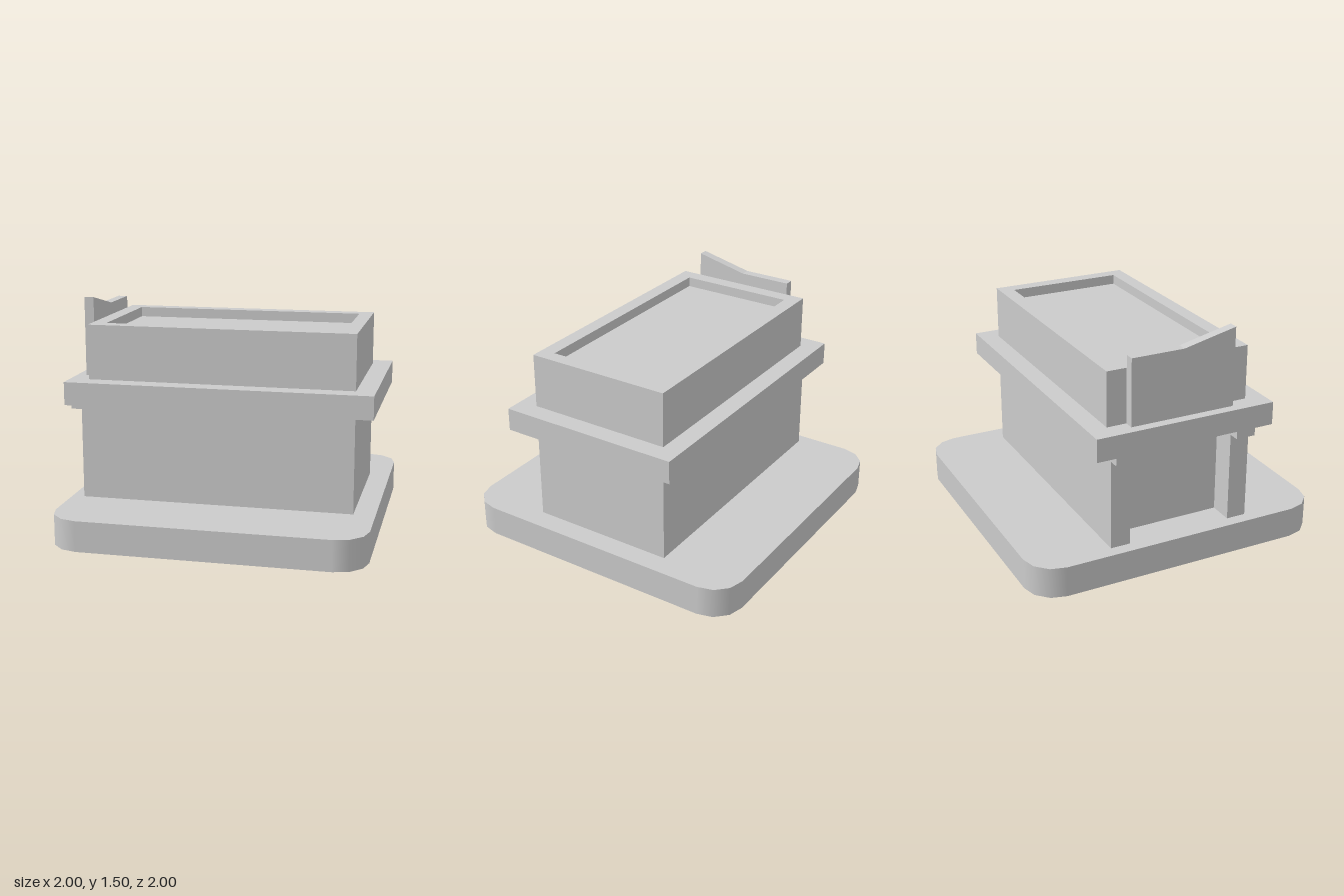
import * as THREE from 'three';

const grey = new THREE.MeshStandardMaterial({ color: 0xcccccc });
const greyThin = new THREE.MeshStandardMaterial({ color: 0xcccccc, side: THREE.DoubleSide });

function part(name, geometry, material = grey) {
  const mesh = new THREE.Mesh(geometry, material);
  mesh.name = name;
  return mesh;
}

// Box given by its limits on each axis
function block(name, x0, x1, y0, y1, z0, z1) {
  const g = new THREE.BoxGeometry(x1 - x0, y1 - y0, z1 - z0);
  g.translate((x0 + x1) / 2, (y0 + y1) / 2, (z0 + z1) / 2);
  return part(name, g);
}

// Outline of [x, z] points laid on the ground plane
const plan = (points) => points.map(([x, z]) => new THREE.Vector2(x, -z));
const rect = (x0, x1, z0, z1) => plan([[x0, z0], [x0, z1], [x1, z1], [x1, z0]]);

// Extrude a plan outline upwards from y0 to y1
function raise(shape, y0, y1) {
  const g = new THREE.ExtrudeGeometry(shape, { depth: y1 - y0, bevelEnabled: false });
  return g.rotateX(-Math.PI / 2).translate(0, y0, 0);
}

// Hollow rounded plinth, open underneath: top plate and a smooth skirt
function createBase() {
  const group = new THREE.Group();
  group.name = 'base';
  const half = 1, r = 0.2, height = 0.2, steps = 3;
  const outline = [], positions = [], normals = [], index = [];
  for (let corner = 0; corner < 4; corner++) {
    const start = (corner * Math.PI) / 2, mid = start + Math.PI / 4;
    const cx = Math.sign(Math.cos(mid)) * (half - r);
    const cz = Math.sign(Math.sin(mid)) * (half - r);
    for (let i = 0; i <= steps; i++) {
      const a = start + (i / steps) * (Math.PI / 2);
      const nx = Math.cos(a), nz = Math.sin(a);
      const x = cx + r * nx, z = cz + r * nz;
      outline.push([x, z]);
      positions.push(x, 0, z, x, height, z);
      normals.push(nx, 0, nz, nx, 0, nz);
    }
  }
  const n = outline.length;
  for (let i = 0; i < n; i++) {
    const a = 2 * i, b = 2 * ((i + 1) % n);
    index.push(a, a + 1, b, b, a + 1, b + 1);
  }
  const skirt = new THREE.BufferGeometry();
  skirt.setAttribute('position', new THREE.Float32BufferAttribute(positions, 3));
  skirt.setAttribute('normal', new THREE.Float32BufferAttribute(normals, 3));
  skirt.setIndex(index);
  const plate = new THREE.ShapeGeometry(new THREE.Shape(plan(outline)));
  plate.rotateX(-Math.PI / 2).translate(0, height, 0);
  group.add(part('baseSkirt', skirt, greyThin), part('basePlate', plate, greyThin));
  return group;
}

export function createModel() {
  const model = new THREE.Group();
  model.name = 'model';
  model.add(createBase());

  // Lower body with a recess between two posts on the -x side
  const zBack = -0.47, zFront = 0.49, inBack = -0.34, inFront = 0.36;
  const body = new THREE.Shape(plan([
    [-0.92, zBack], [-0.92, inBack], [-0.76, inBack], [-0.76, inFront],
    [-0.92, inFront], [-0.92, zFront], [0.86, zFront], [0.86, zBack],
  ]));
  model.add(part('lowerBody', raise(body, 0.2, 0.84)));

  // Projecting rim, with a bracket over each post
  model.add(block('rim', -0.99, 0.985, 0.84, 0.99, -0.595, 0.615));
  for (const [z0, z1] of [[zBack, inBack], [inFront, zFront]]) {
    model.add(block('rimBracket', -0.99, -0.92, 0.79, 0.84, z0, z1));
  }

  // Upper body: raised border around a sunken top
  const hole = [-0.77, 0.77, -0.375, 0.395];
  const border = new THREE.Shape(rect(-0.865, 0.86, zBack, zFront));
  border.holes.push(new THREE.Path(rect(...hole)));
  model.add(part('upperBody', raise(border, 0.99, 1.345)));
  model.add(block('sunkenTop', hole[0], hole[1], 0.99, 1.28, hole[2], hole[3]));

  // Upright fin on the -x side, sloping up towards the front
  const fin = new THREE.Shape([
    [inBack, 0.99], [inFront, 0.99], [inFront, 1.505], [0.01, 1.425], [inBack, 1.425],
  ].map(([z, y]) => new THREE.Vector2(z, y)));
  const finGeometry = new THREE.ExtrudeGeometry(fin, { depth: 0.062, bevelEnabled: false });
  finGeometry.rotateY(-Math.PI / 2).translate(-0.866, 0, 0);
  model.add(part('sideFin', finGeometry));

  return model;
}
